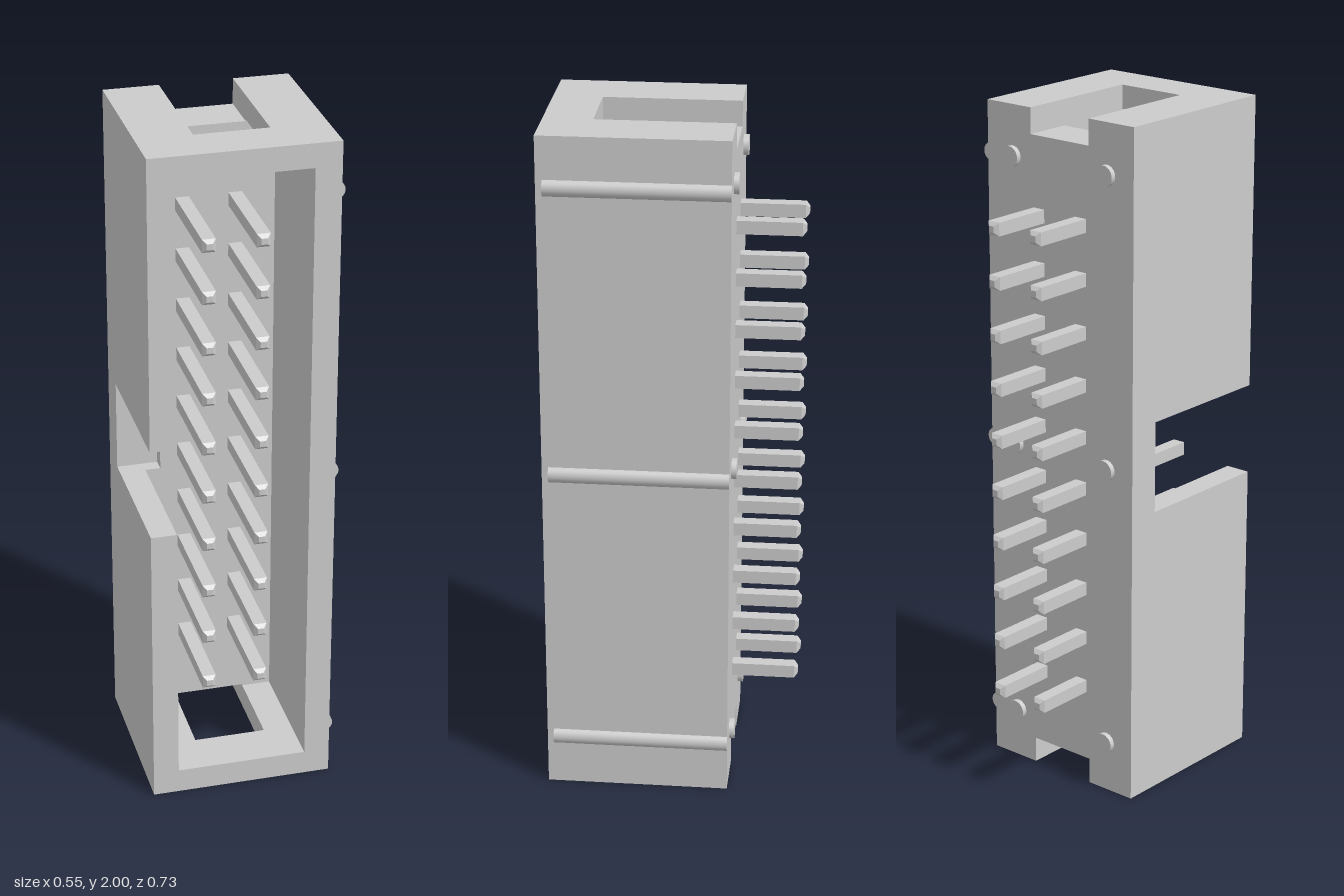
import * as THREE from 'three';

const MAT = new THREE.MeshStandardMaterial({ color: 0xcccccc });

// Shell dimensions
const L = -0.275, R = 0.258, H = 2;              // outer walls
const IL = -0.2, IR = 0.183, IB = 0.073, IT = 1.93; // cavity
const SL = -0.115, SR = 0.097, SB = 0.077, ST = 1.925; // end slots
const NB = 0.87, NT = 1.14, NX = -0.155;          // key notch
const BACK = -0.17, NOTCH_Z = -0.07, FLOOR = -0.03, WINDOW = 0.222, FRONT = 0.362;

export function createModel() {
  const model = new THREE.Group();
  model.name = 'pinHeader';

  const add = (name, geometry, x = 0, y = 0, z = 0, parent = model) => {
    const mesh = new THREE.Mesh(geometry, MAT);
    mesh.name = name;
    mesh.position.set(x, y, z);
    parent.add(mesh);
    return mesh;
  };

  // Extrudes an xy outline between two depths
  const layer = (name, points, z0, z1) => {
    const shape = new THREE.Shape(points.map(([x, y]) => new THREE.Vector2(x, y)));
    add(name, new THREE.ExtrudeGeometry(shape, { depth: z1 - z0, bevelEnabled: false }), 0, 0, z0);
  };

  // Base with a slot in each end; its upper layer also carries the key notch
  const baseRight = [
    [L, 0], [SL, 0], [SL, SB], [SR, SB], [SR, 0], [R, 0],
    [R, H], [SR, H], [SR, ST], [SL, ST], [SL, H], [L, H],
  ];
  layer('baseBack', baseRight, BACK, NOTCH_Z);
  layer('baseFloor', [...baseRight, [L, NT], [NX, NT], [NX, NB], [L, NB]], NOTCH_Z, FLOOR);

  // Side walls, with windows left open in both ends
  layer('leftWall', [[SR, 0], [R, 0], [R, H], [SR, H], [SR, IT], [IR, IT], [IR, IB], [SR, IB]], FLOOR, WINDOW);
  layer('rightWallLower', [[L, 0], [SL, 0], [SL, IB], [IL, IB], [IL, NB], [L, NB]], FLOOR, WINDOW);
  layer('rightWallUpper', [[L, NT], [IL, NT], [IL, IT], [SL, IT], [SL, H], [L, H]], FLOOR, WINDOW);

  // Front rim, open at the key notch
  layer('frontRim', [
    [L, 0], [R, 0], [R, H], [L, H], [L, NT], [IL, NT],
    [IL, IT], [IR, IT], [IR, IB], [IL, IB], [IL, NB], [L, NB],
  ], WINDOW, FRONT);

  // Two columns of ten square pins with tapered tips at both ends
  const pins = new THREE.Group();
  pins.name = 'pins';
  model.add(pins);
  const half = 0.0195 * Math.SQRT2, tip = 0.009 * Math.SQRT2;
  const z0 = -0.365, z1 = 0.284, taper = 0.011;
  const profile = [[0, z0], [tip, z0], [half, z0 + taper], [half, z1 - taper], [tip, z1], [0, z1]];
  const pinGeo = new THREE.LatheGeometry(profile.map(([r, z]) => new THREE.Vector2(r, z)), 4)
    .rotateY(Math.PI / 4).rotateX(Math.PI / 2).toNonIndexed();
  pinGeo.computeVertexNormals();
  for (const x of [-0.085, 0.068]) {
    for (let i = 0; i < 10; i++) add('pin', pinGeo, x, 0.31 + i * 0.1543, 0, pins);
  }

  // Rounded ribs on the left wall and round standoffs on the back
  const ribGeo = new THREE.CylinderGeometry(0.026, 0.026, 0.343 - BACK, 32).rotateX(Math.PI / 2);
  const discGeo = new THREE.CylinderGeometry(0.03, 0.03, 0.025, 32).rotateX(Math.PI / 2);
  for (const y of [0.153, 1.003, 1.853]) {
    add('rib', ribGeo, 0.247, y, (0.343 + BACK) / 2);
    for (const x of [-0.18, 0.165]) add('standoff', discGeo, x, y, -0.1725);
  }
  return model;
}
